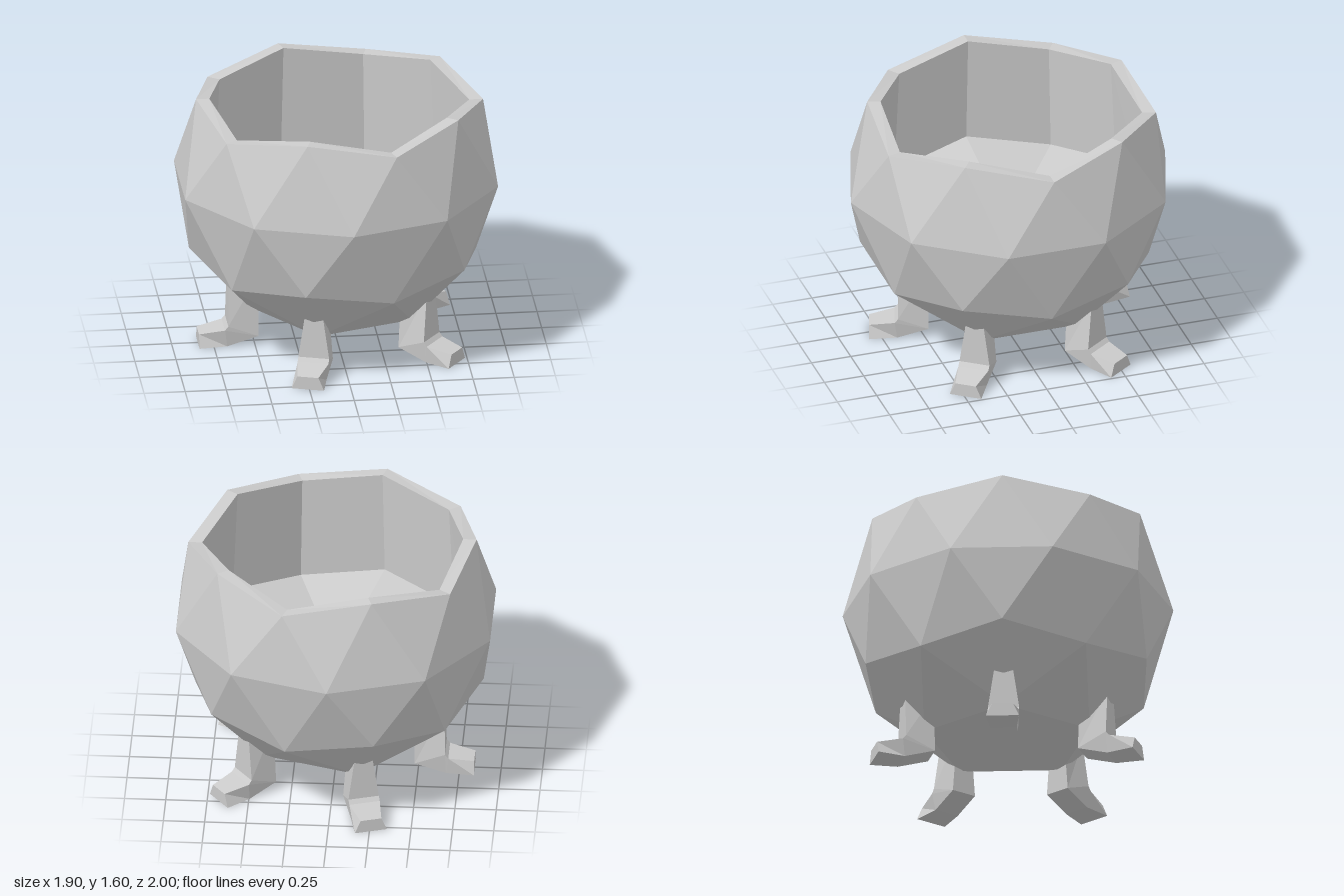
import * as THREE from 'three';

const SIDES = 10, CENTRE_Y = 1.07;

// Collects flat-shaded triangles and quads (corners counter-clockwise from outside)
class Faces {
  constructor() { this.points = []; }
  tri(...corners) { corners.forEach(p => this.points.push(...p)); }
  quad(a, b, c, d) { this.tri(a, b, c); this.tri(a, c, d); }
  mesh(name) {
    const geometry = new THREE.BufferGeometry();
    geometry.setAttribute('position', new THREE.Float32BufferAttribute(this.points, 3));
    geometry.computeVertexNormals();
    const mesh = new THREE.Mesh(geometry, new THREE.MeshStandardMaterial({ color: 0xcccccc, flatShading: true }));
    mesh.name = name;
    return mesh;
  }
}

// Ring of ten points whose radius and height alternate; returned as a wrapping lookup
function ring(evenR, evenY, oddR, oddY, turn = 0) {
  const pts = [];
  for (let k = 0; k < SIDES; k++) {
    const a = (k + turn) * Math.PI * 2 / SIDES;
    const r = k % 2 ? oddR : evenR, y = k % 2 ? oddY : evenY;
    pts.push([r * Math.cos(a), CENTRE_Y + y, r * Math.sin(a)]);
  }
  return k => pts[(k + SIDES) % SIDES];
}

// Outer shell: a faceted ball with its top cap removed
function makeShell(rim) {
  const f = new Faces();
  const equator = ring(1, 0, 1, 0, 0.5);
  const lower = ring(0.851, -0.526, 0.894, -0.447);
  const base = ring(0.526, -0.851, 0.526, -0.851);
  const pole = [0, CENTRE_Y - 1, 0];
  for (let k = 0; k < SIDES; k++) {
    f.tri(rim(k), rim(k + 1), equator(k));
    f.tri(equator(k - 1), rim(k), equator(k));
    f.tri(equator(k - 1), equator(k), lower(k));
    f.tri(lower(k), equator(k), lower(k + 1));
    if (k % 2) {
      f.tri(lower(k - 1), lower(k), base(k));
      f.tri(lower(k), lower(k + 1), base(k));
      f.tri(base(k), lower(k + 1), base(k + 2));
      f.tri(base(k), base(k + 2), pole);
    }
  }
  return f.mesh('bowlShell');
}

// Rim, inner wall and shallow floor
function makeInside(rim) {
  const lip = new Faces(), wall = new Faces(), floor = new Faces();
  const inner = ring(0.81, 0.447, 0.77, 0.526);
  const foot = ring(0.845, -0.233, 0.805, -0.154);
  const middle = [0, CENTRE_Y - 0.32, 0];
  for (let k = 0; k < SIDES; k++) {
    lip.quad(rim(k), inner(k), inner(k + 1), rim(k + 1));
    wall.quad(inner(k), foot(k), foot(k + 1), inner(k + 1));
    floor.tri(middle, foot(k + 1), foot(k));
  }
  return [lip.mesh('rim'), wall.mesh('innerWall'), floor.mesh('innerFloor')];
}

// Leg pointing along +x, lofted through four-cornered sections from hip to toe
function makeLeg() {
  const f = new Faces();
  // each section: outer [x, y, half width], inner [x, y, half width]
  const sections = [
    [[0.66, 0.44, 0.05], [0.48, 0.44, 0.05]],
    [[0.665, 0.135, 0.095], [0.48, 0.06, 0.08]],
    [[0.685, 0.11, 0.095], [0.67, 0, 0.08]],
    [[0.84, 0.08, 0.065], [0.84, 0, 0.1]],
  ].map(([[ox, oy, ow], [ix, iy, iw]]) =>
    [[ox, oy, -ow], [ox, oy, ow], [ix, iy, iw], [ix, iy, -iw]]);
  for (let s = 0; s < sections.length - 1; s++) {
    const a = sections[s], b = sections[s + 1];
    for (let i = 0; i < 4; i++) {
      const j = (i + 1) % 4;
      f.quad(a[i], a[j], b[j], b[i]);
    }
  }
  const [hip, toe] = [sections[0], sections[3]];
  f.quad(hip[0], hip[3], hip[2], hip[1]);
  f.quad(...toe);
  return f.mesh('leg');
}

export function createModel() {
  const model = new THREE.Group();
  model.name = 'footedBowl';
  const rim = ring(0.894, 0.447, 0.851, 0.526);
  model.add(makeShell(rim), ...makeInside(rim));

  // Five legs spaced evenly around the base
  const leg = makeLeg();
  for (let i = 0; i < 5; i++) {
    const copy = leg.clone();
    copy.name = `leg${i + 1}`;
    copy.rotation.y = -(2 * i + 1) * Math.PI / 5;
    model.add(copy);
  }
  return model;
}
